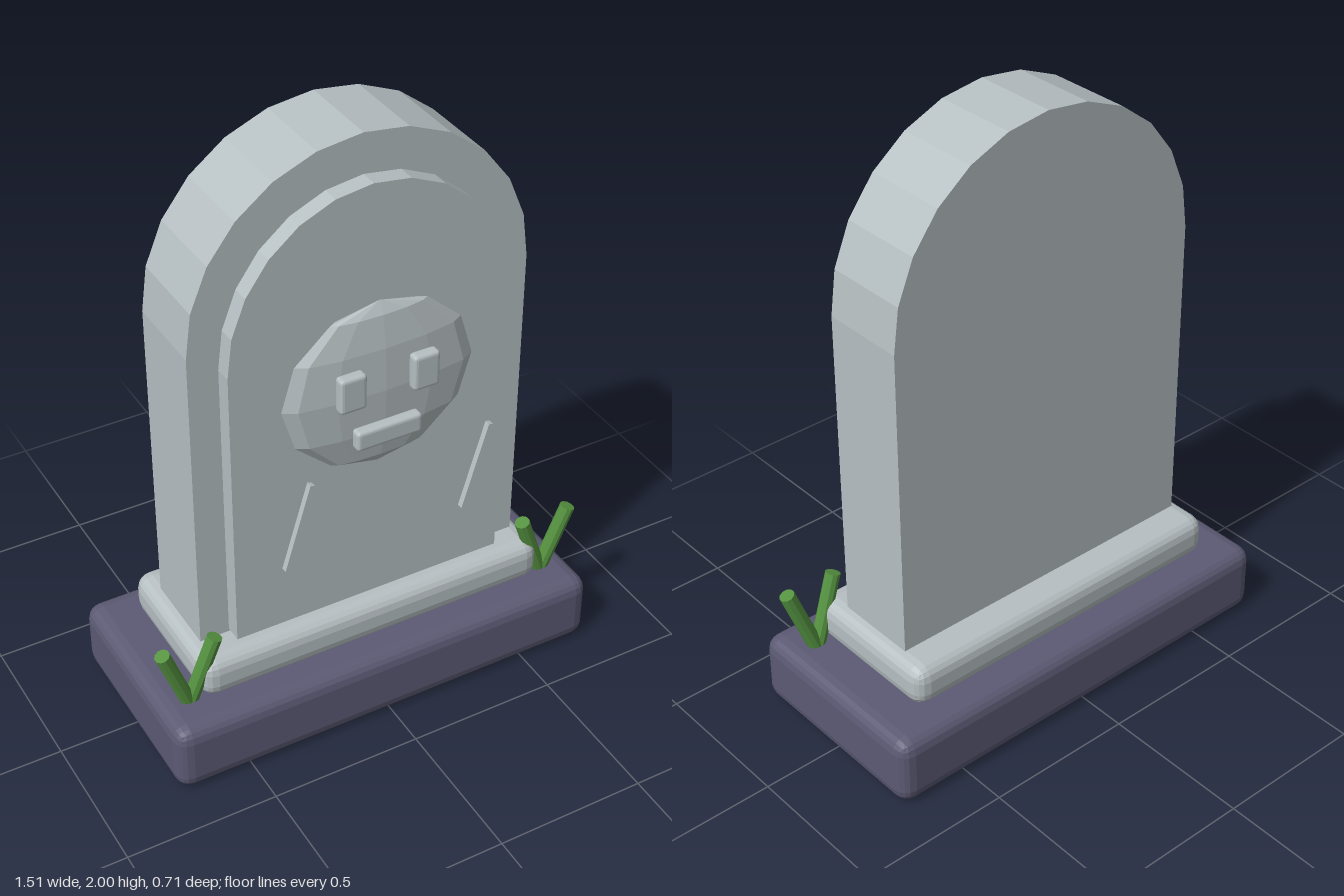
import * as THREE from 'three';
import { RoundedBoxGeometry } from 'three/addons/geometries/RoundedBoxGeometry.js';

export function createModel() {
  const group = new THREE.Group();
  const material = (name, color, flatShading = true) => {
    const m = new THREE.MeshStandardMaterial({ color });
    m.name = name;
    m.flatShading = flatShading;
    return m;
  };
  const stone = material('stone grey', 0xb6bfc2);
  const slate = material('slate purple', 0x5c5a74);
  const green = material('grass green', 0x559340);

  const add = (name, geometry, mat, x = 0, y = 0, z = 0) => {
    const mesh = new THREE.Mesh(geometry, mat);
    mesh.name = name;
    mesh.position.set(x, y, z);
    group.add(mesh);
    return mesh;
  };
  const block = (w, h, d, r) => new RoundedBoxGeometry(w, h, d, 2, r);

  // Upright slab with a faceted arch on top
  const arch = (halfWidth, bottom, spring, rise, depth) => {
    const points = [new THREE.Vector2(-halfWidth, bottom), new THREE.Vector2(halfWidth, bottom)];
    for (let i = 0; i <= 12; i++) {
      const a = (i / 12) * Math.PI;
      points.push(new THREE.Vector2(halfWidth * Math.cos(a), spring + rise * Math.sin(a)));
    }
    return new THREE.ExtrudeGeometry(new THREE.Shape(points), { depth, bevelEnabled: false });
  };

  // Stepped base
  add('base', block(1.5, 0.24, 0.71, 0.05), slate, 0, 0.12, 0);
  add('plinth', block(1.22, 0.145, 0.52, 0.05), stone, 0, 0.312, 0);

  // Headstone and its raised front panel
  add('headstone', arch(0.565, 0.36, 1.435, 0.565, 0.285), stone, 0, 0, -0.143);
  add('frontPanel', arch(0.467, 0.395, 1.37, 0.5, 0.07), stone, 0, 0, 0.13);

  // Carved face
  const head = add('carvedHead', new THREE.SphereGeometry(1, 12, 6), stone, 0, 1.225, 0.237);
  head.scale.set(0.32, 0.285, 0.048);
  for (const side of [-1, 1]) {
    add(side < 0 ? 'rightEye' : 'leftEye', block(0.088, 0.12, 0.04, 0.012), stone, side * 0.122, 1.265, 0.293);
  }
  add('mouth', block(0.22, 0.068, 0.04, 0.012), stone, 0, 1.087, 0.293);

  // Slanted scratch marks
  for (const x of [-0.255, 0.372]) {
    add('scratch', new THREE.BoxGeometry(0.016, 0.31, 0.025), stone, x, 0.76, 0.208).rotation.z = -0.29;
  }

  // Grass tufts, two blades each
  const up = new THREE.Vector3(0, 1, 0);
  for (const side of [-1, 1]) {
    for (const lean of [-1, 1]) {
      const root = new THREE.Vector3(side * 0.643 + lean * 0.005, 0.235, 0.21);
      const tip = new THREE.Vector3(side * 0.643 + lean * 0.088, 0.465, 0.225);
      const dir = tip.clone().sub(root);
      const blade = add('grassBlade', new THREE.CylinderGeometry(0.025, 0.025, dir.length(), 10), green);
      blade.position.copy(root).add(tip).multiplyScalar(0.5);
      blade.quaternion.setFromUnitVectors(up, dir.normalize());
    }
  }
  return group;
}
